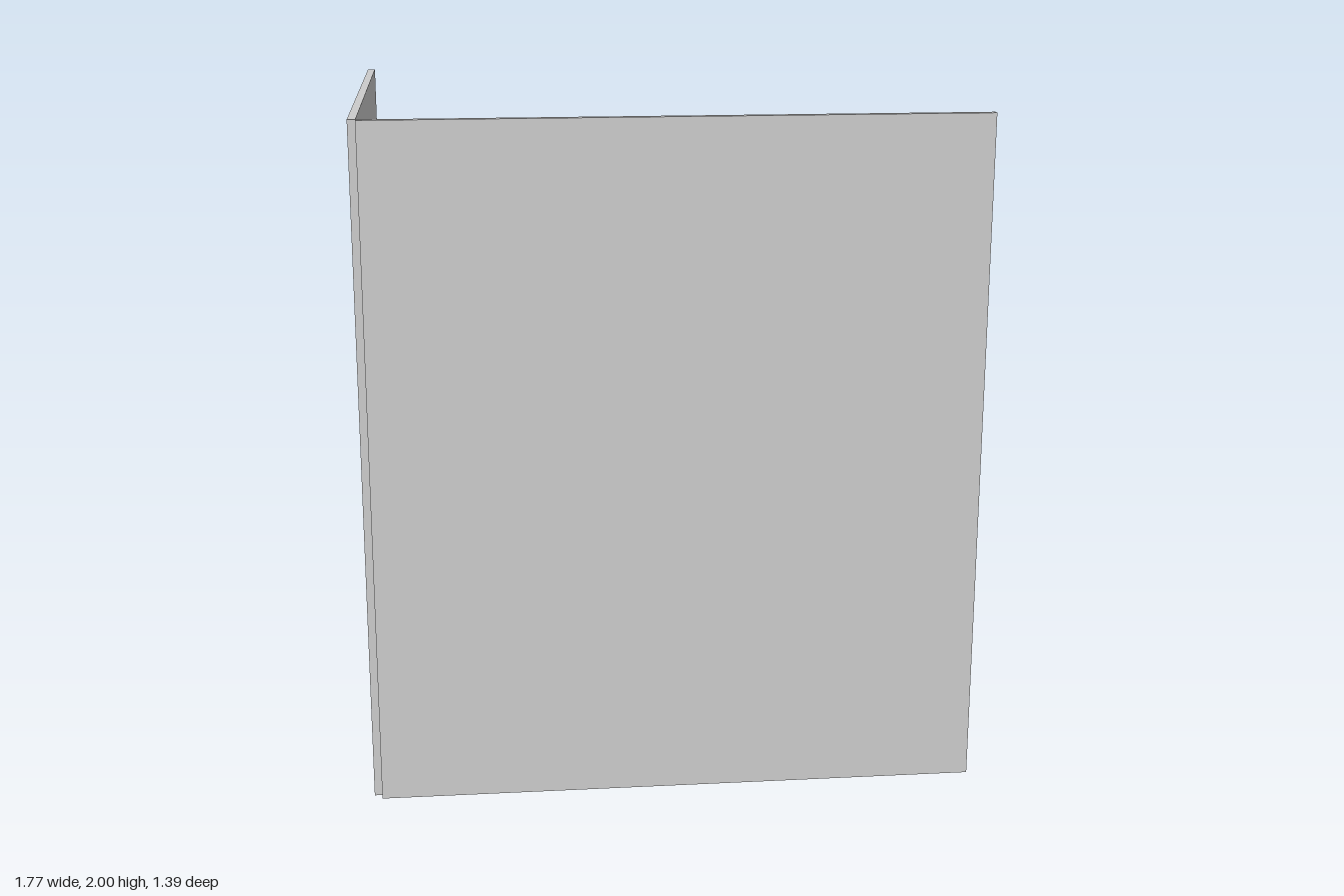
import * as THREE from 'three';

const material = new THREE.MeshStandardMaterial({ color: 0xcccccc, flatShading: true });

function add(parent, name, geometry) {
  const mesh = new THREE.Mesh(geometry, material);
  mesh.name = name;
  parent.add(mesh);
  return mesh;
}

// Profile in (distance from wall, height), extruded along the wall from u0 to u1
function alongWall(parent, name, points, u0, u1, y = 0) {
  const shape = new THREE.Shape(points.map(([d, h]) => new THREE.Vector2(d, h)));
  const mesh = add(parent, name, new THREE.ExtrudeGeometry(shape, { depth: u1 - u0, bevelEnabled: false }));
  mesh.position.set(0, y, u0);
  return mesh;
}

const rect = (d0, d1, y0, y1) => [[d0, y0], [d1, y0], [d1, y1], [d0, y1]];
const SHELF = [[0, 0], [0.405, 0], [0.405, 0.004], [0.38, 0.025], [0, 0.025]];
const BRACKET = [[0, 0], [0, -0.04], [0.1, -0.04], [0.22, -0.014], [0.375, -0.011], [0.375, 0]];

// One run of shelving: back panel, plinth, three shelves, brackets and feet
function createRun(name, { panel, shelf, plinth, brackets, feet }) {
  const run = new THREE.Group();
  run.name = name;
  alongWall(run, 'backPanel', rect(-0.023, 0, 0.015, 2), ...panel);
  alongWall(run, 'plinth', rect(0, 0.4, 0.025, 0.188), ...plinth);
  alongWall(run, 'baseShelf', SHELF, ...shelf, 0.19);
  for (const y of [0.932, 1.6]) {
    alongWall(run, 'shelf', SHELF, ...shelf, y);
    for (const u of brackets) alongWall(run, 'bracket', BRACKET, u, u + 0.008, y);
  }
  for (const [d, u] of feet) {
    add(run, 'foot', new THREE.CylinderGeometry(0.01, 0.01, 0.03, 12)).position.set(d, 0.015, u);
  }
  return run;
}

export function createModel() {
  const model = new THREE.Group();
  model.name = 'cornerShelving';

  // Run against the side wall, reaching into the corner
  const sideRun = createRun('sideRun', {
    panel: [-0.697, 0.67],
    shelf: [-0.69, 0.67],
    plinth: [-0.69, 0.67],
    brackets: [-0.688, 0.66],
    feet: [[0.025, -0.65], [0.38, -0.65], [0.025, 0.64]],
  });
  sideRun.position.x = -0.865;

  // Run against the front wall, butting up to the side run
  const frontRun = createRun('frontRun', {
    panel: [-0.865, 0.885],
    shelf: [-0.485, 0.88],
    plinth: [-0.465, 0.88],
    brackets: [-0.483, 0.87],
    feet: [[0.03, 0.84], [0.375, 0.84], [0.375, -0.445]],
  });
  frontRun.rotation.y = Math.PI / 2;
  frontRun.position.z = 0.67;

  model.add(sideRun, frontRun);
  return model;
}
